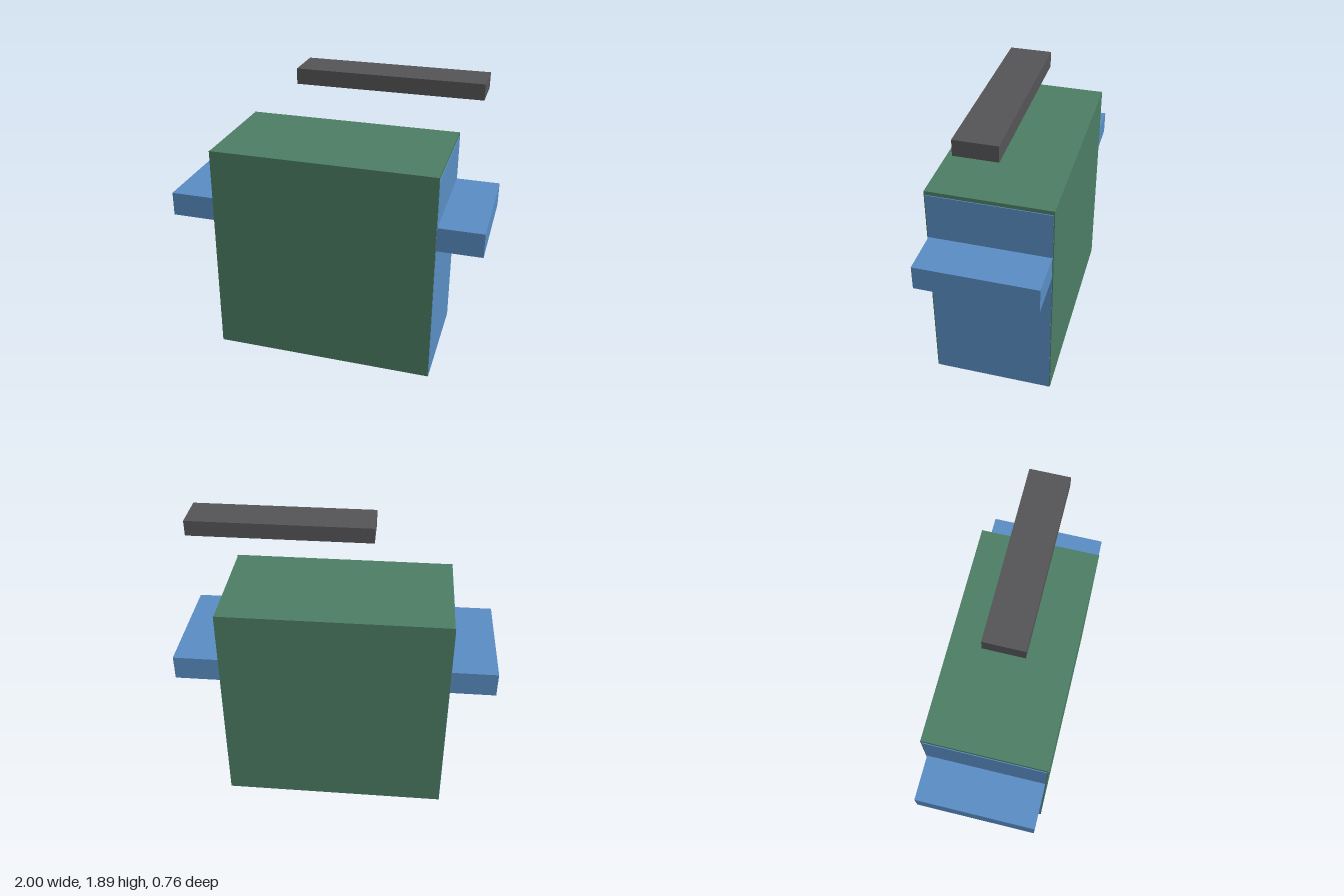
import * as THREE from 'three';

const mat = (name, color) => {
  const m = new THREE.MeshStandardMaterial({ color });
  m.name = name;
  return m;
};

export function createModel() {
  const group = new THREE.Group();
  const blue = mat('blue', 0x5b8fc6);
  const green = mat('green', 0x4d7f65);
  const grey = mat('dark grey', 0x565558);

  // Box given by its minimum and maximum corners
  const box = (name, material, [x0, y0, z0], [x1, y1, z1]) => {
    const mesh = new THREE.Mesh(new THREE.BoxGeometry(x1 - x0, y1 - y0, z1 - z0), material);
    mesh.position.set((x0 + x1) / 2, (y0 + y1) / 2, (z0 + z1) / 2);
    mesh.name = name;
    group.add(mesh);
  };

  // Main block with a slightly narrower cap
  box('body', blue, [-0.718, 0, -0.375], [0.718, 1.38, 0.375]);
  box('cap', green, [-0.713, 1.38, -0.375], [0.713, 1.405, 0.375]);

  // Thin covers on the front and back
  box('frontPanel', green, [-0.716, 0.002, 0.375], [0.716, 1.405, 0.381]);
  box('backPanel', green, [-0.716, 0.002, -0.381], [0.716, 1.405, -0.375]);

  // Side ledges
  box('leftLedge', blue, [0.717, 0.925, -0.373], [1, 1.08, 0.373]);
  box('rightLedge', blue, [-1, 0.925, -0.373], [-0.717, 1.08, 0.373]);

  // Floating bar, offset to the left
  box('upperBar', grey, [-0.22, 1.8, -0.126], [0.903, 1.895, 0.124]);

  return group;
}
